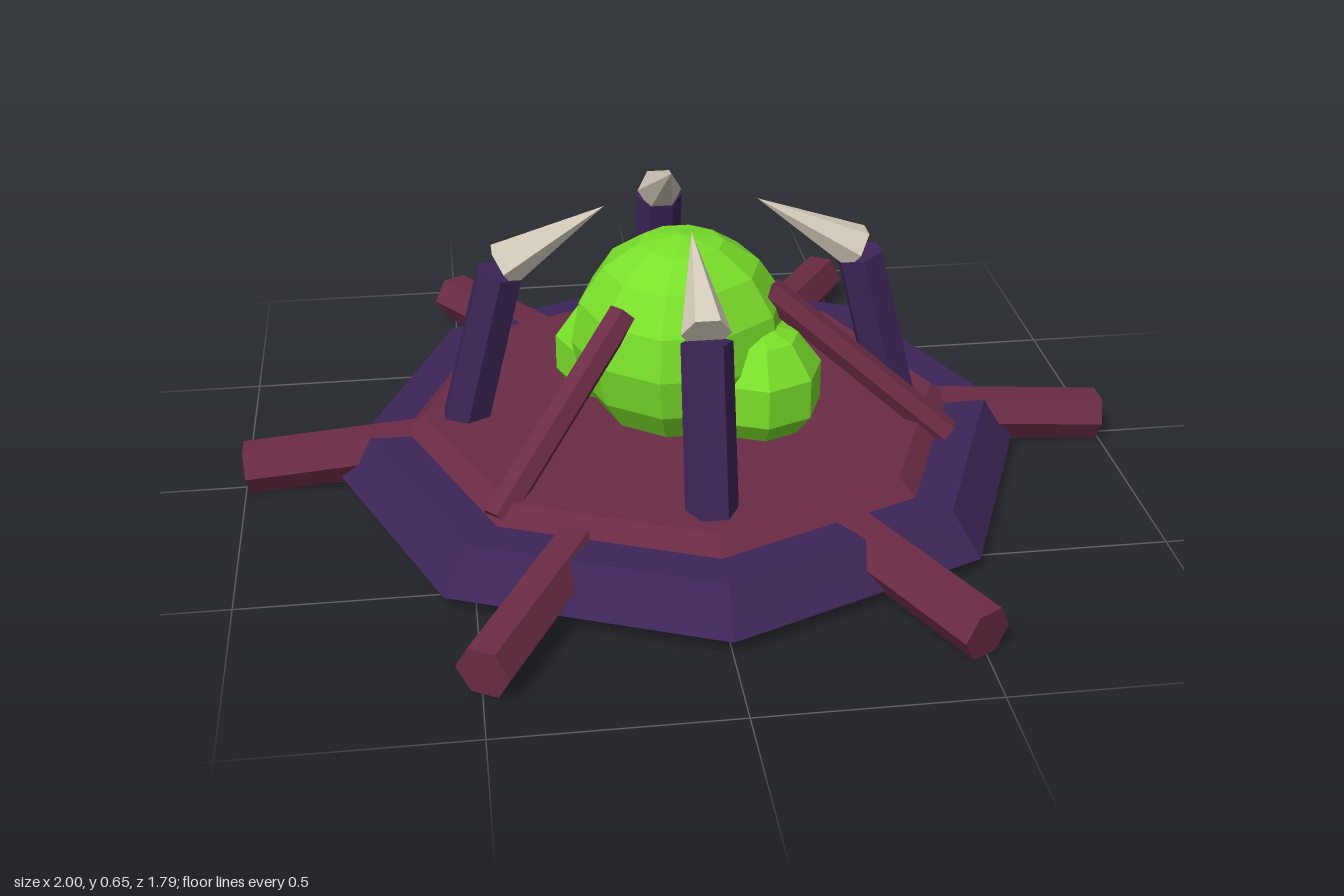
import * as THREE from 'three';

const mat = (color) => new THREE.MeshStandardMaterial({ color, flatShading: true });

export function createModel() {
  const model = new THREE.Group();
  const purple = mat(0x3d2557), maroon = mat(0x6b2c45), green = mat(0x7ae02a), bone = mat(0xd4ccbb);

  const add = (parent, name, geometry, material, x = 0, y = 0, z = 0) => {
    const mesh = new THREE.Mesh(geometry, material);
    mesh.name = name;
    mesh.position.set(x, y, z);
    parent.add(mesh);
    return mesh;
  };

  // tapered bar between two points [radius, height] in the radial plane
  const bar = (parent, name, a, b, ra, rb, sides, material) => {
    const from = new THREE.Vector3(a[0], a[1], 0);
    const dir = new THREE.Vector3(b[0], b[1], 0).sub(from);
    const geo = new THREE.CylinderGeometry(rb, ra, dir.length(), sides);
    const mid = from.clone().addScaledVector(dir, 0.5);
    const mesh = add(parent, name, geo, material, mid.x, mid.y, 0);
    mesh.quaternion.setFromUnitVectors(new THREE.Vector3(0, 1, 0), dir.normalize());
  };

  // evenly spaced copies around the vertical axis
  const ring = (name, count, startDeg, build) => {
    for (let i = 0; i < count; i++) {
      const g = new THREE.Group();
      g.name = name;
      g.rotation.y = -THREE.MathUtils.degToRad(startDeg + (i * 360) / count);
      build(g);
      model.add(g);
    }
  };

  // stepped octagonal base
  add(model, 'basePlate', new THREE.CylinderGeometry(0.725, 0.8, 0.09, 8), purple, 0, 0.085, 0);
  add(model, 'topPlate', new THREE.CylinderGeometry(0.59, 0.67, 0.065, 8), maroon, 0, 0.1325, 0);

  // spreading feet
  ring('foot', 6, 0, (g) => bar(g, 'footBar', [0.4, 0.105], [0.996, 0.058], 0.06, 0.06, 6, maroon));

  // leaning pillars tipped with inward claws
  ring('clawPillar', 4, 0, (g) => {
    bar(g, 'pillar', [0.505, 0.11], [0.405, 0.51], 0.057, 0.055, 6, purple);
    bar(g, 'claw', [0.398, 0.525], [0.17, 0.655], 0.053, 0, 6, bone);
  });

  // thin struts leaning on the core
  ring('strut', 3, 17, (g) => bar(g, 'strutBar', [0.61, 0.13], [0.2, 0.455], 0.034, 0.034, 6, maroon));

  // faceted core with two side lumps
  add(model, 'core', new THREE.SphereGeometry(0.25, 10, 8), green, 0, 0.33, 0);
  add(model, 'frontLump', new THREE.SphereGeometry(0.148, 8, 5), green, 0.16, 0.26, 0.12);
  add(model, 'backLump', new THREE.SphereGeometry(0.135, 8, 5), green, -0.15, 0.25, -0.11);

  return model;
}
